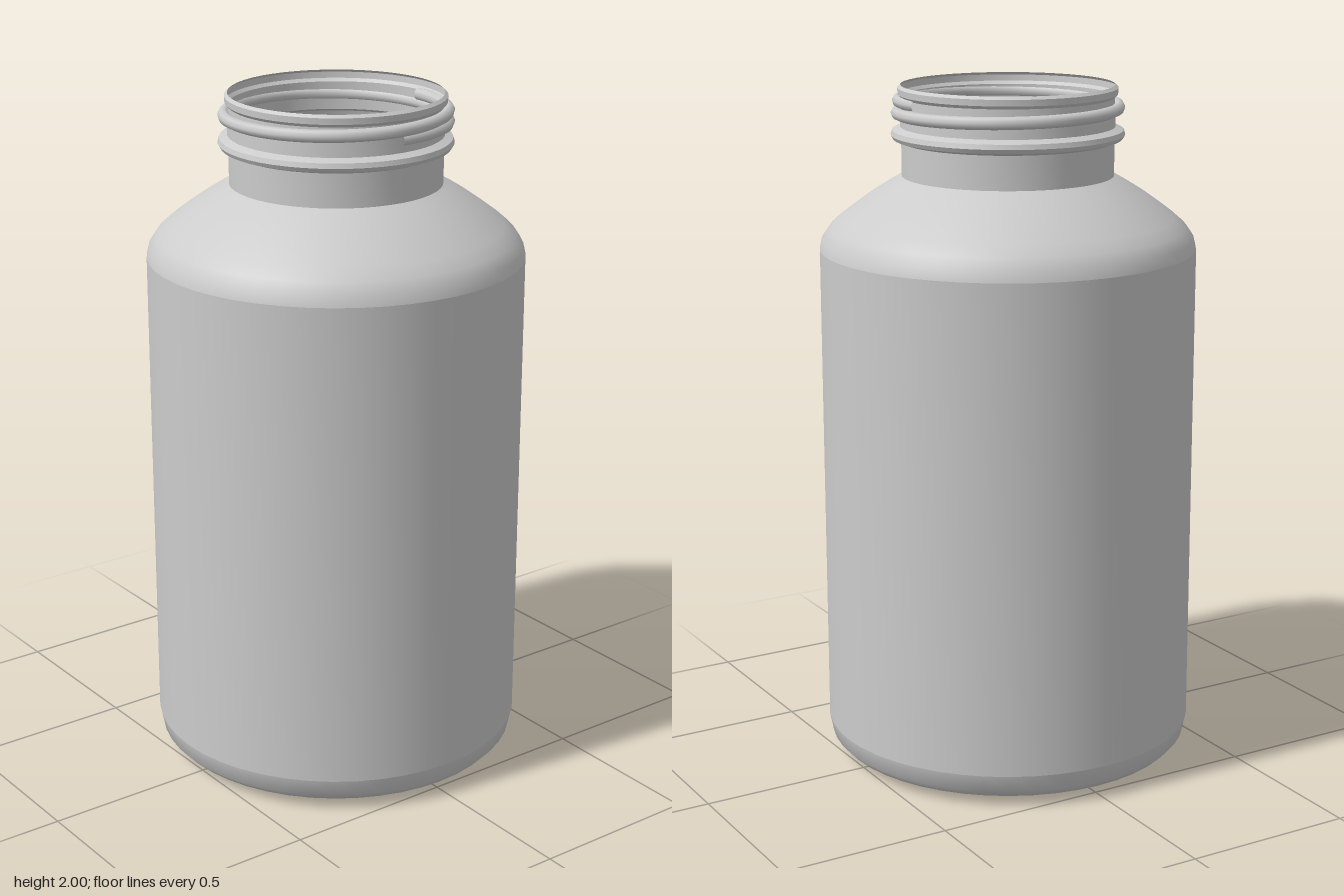
import * as THREE from 'three';
import { toCreasedNormals } from 'three/addons/utils/BufferGeometryUtils.js';

const SIDES = 48;
const material = new THREE.MeshStandardMaterial({ color: 0xcccccc, side: THREE.DoubleSide });

// Revolve a thin wall from [radius, height] pairs listed bottom to top
function revolve(name, profile) {
  const points = profile.map(([r, y]) => new THREE.Vector2(r, y));
  const geometry = toCreasedNormals(new THREE.LatheGeometry(points, SIDES), 0.6);
  const mesh = new THREE.Mesh(geometry, material);
  mesh.name = name;
  return mesh;
}

// Single raised screw thread that climbs around the neck and fades at both ends
class ThreadCurve extends THREE.Curve {
  getPoint(t, target = new THREE.Vector3()) {
    const angle = t * Math.PI * 2.5;
    const fade = Math.min(1, t * 12, (1 - t) * 12);
    const radius = 0.298 + 0.02 * fade;
    return target.set(Math.sin(angle) * radius, 1.915 + 0.04 * t, Math.cos(angle) * radius);
  }
}

export function createModel() {
  const bottle = new THREE.Group();
  bottle.name = 'bottle';

  // Base with a shallow recess and a rounded lower edge
  bottle.add(revolve('base', [
    [0, 0.02], [0.35, 0.02], [0.37, 0.005], [0.41, 0], [0.47, 0.012],
    [0.515, 0.027], [0.537, 0.05], [0.547, 0.1],
  ]));

  // Straight cylindrical wall
  bottle.add(revolve('body', [[0.547, 0.1], [0.547, 1.53]]));

  // Domed shoulder closing in to the neck
  bottle.add(revolve('shoulder', [
    [0.547, 1.53], [0.54, 1.56], [0.518, 1.593], [0.485, 1.622],
    [0.44, 1.656], [0.395, 1.688], [0.35, 1.716], [0.32, 1.733], [0.307, 1.74],
  ]));

  // Open neck with a bead under the thread and a slightly wider lip
  bottle.add(revolve('neck', [
    [0.307, 1.74], [0.307, 1.838], [0.33, 1.846], [0.337, 1.858], [0.333, 1.872],
    [0.31, 1.882], [0.307, 1.965], [0.316, 1.974], [0.317, 1.992], [0.308, 2],
  ]));

  const thread = new THREE.Mesh(
    new THREE.TubeGeometry(new ThreadCurve(), 110, 0.018, 8, false), material);
  thread.name = 'screwThread';
  bottle.add(thread);

  return bottle;
}
